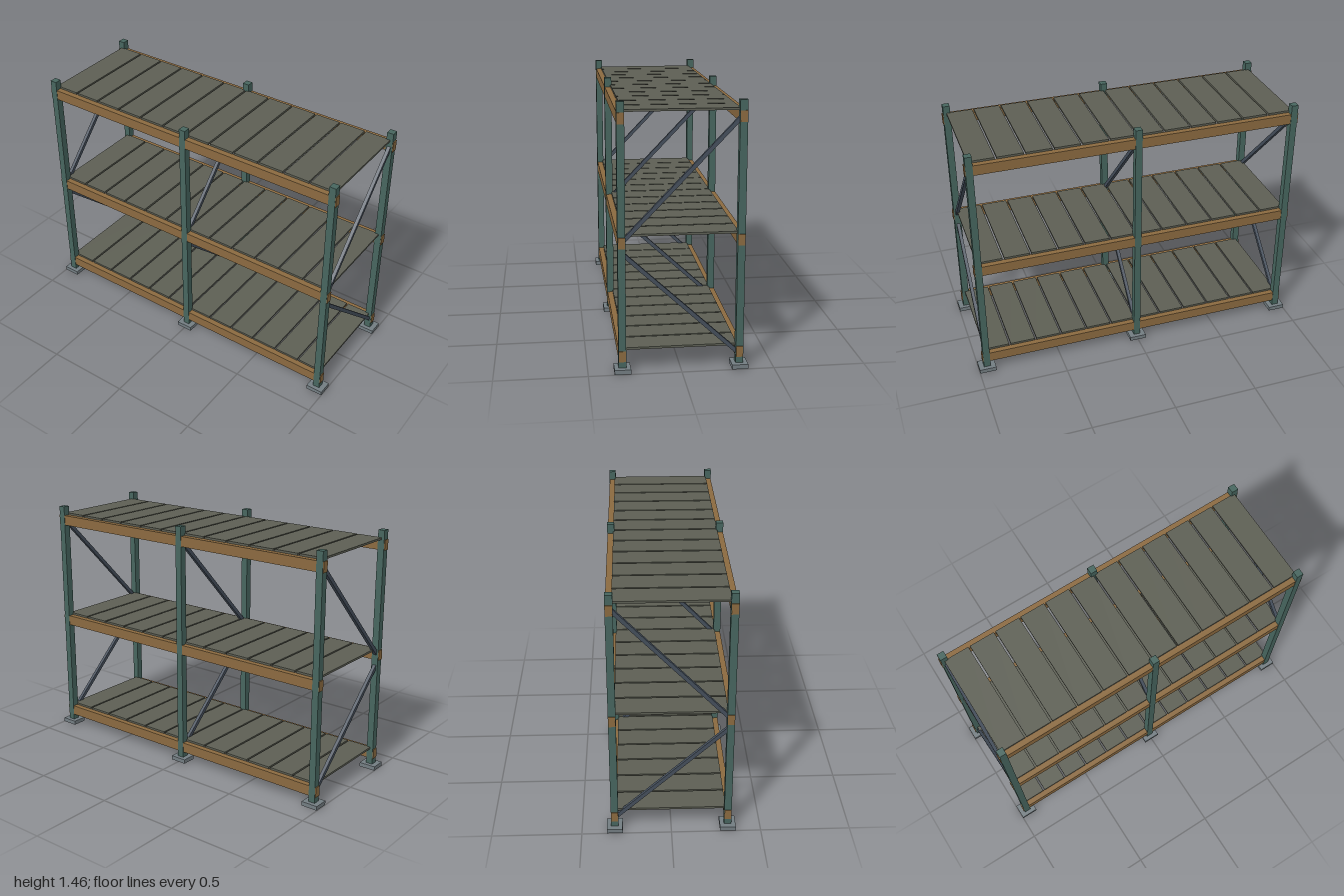
import * as THREE from 'three';

const mat = (name, color) => {
  const m = new THREE.MeshStandardMaterial({ color });
  m.name = name;
  return m;
};

export function createModel() {
  const rack = new THREE.Group();
  rack.name = 'palletRack';
  const green = mat('postGreen', 0x47665f);
  const brown = mat('beamBrown', 0x8b6a40);
  const olive = mat('deckOlive', 0x5d5f54);
  const slate = mat('braceSlate', 0x454f5c);
  const grey = mat('footGrey', 0x737d82);

  const box = (name, material, w, h, d, x, y, z) => {
    const mesh = new THREE.Mesh(new THREE.BoxGeometry(w, h, d), material);
    mesh.name = name;
    mesh.position.set(x, y, z);
    rack.add(mesh);
    return mesh;
  };

  // diagonal bar between two points in a frame's z-y plane
  const brace = (x, z0, y0, z1, y1) => {
    const length = Math.hypot(z1 - z0, y1 - y0);
    const bar = box('brace', slate, 0.02, 0.022, length, x, (y0 + y1) / 2, (z0 + z1) / 2);
    bar.rotation.x = -Math.atan2(y1 - y0, z1 - z0);
  };

  const postZ = 0.316;

  // upright frames: posts, foot plates and diagonal braces
  for (const x of [-0.95, 0, 0.95]) {
    for (const side of [-1, 1]) {
      box('post', green, 0.04, 1.455, 0.041, x, 0.7275, side * postZ);
      box('footPlate', grey, 0.1, 0.025, 0.088, x, 0.0135, side * postZ);
    }
    brace(x, -0.305, 0.085, 0.305, 0.65);
    brace(x, -0.305, 1.363, 0.305, 0.725);
  }

  // shelf levels: front and back beams under a plank deck
  const pitch = 0.1595;
  for (const top of [0.121, 0.747, 1.4]) {
    for (const side of [-1, 1]) {
      box('beam', brown, 1.95, 0.06, 0.037, 0, top - 0.03, side * postZ);
    }
    for (let i = 0; i < 12; i++) {
      box('deckPlank', olive, 0.149, 0.012, 0.604, (i - 5.5) * pitch, top + 0.006, 0);
    }
  }
  return rack;
}
